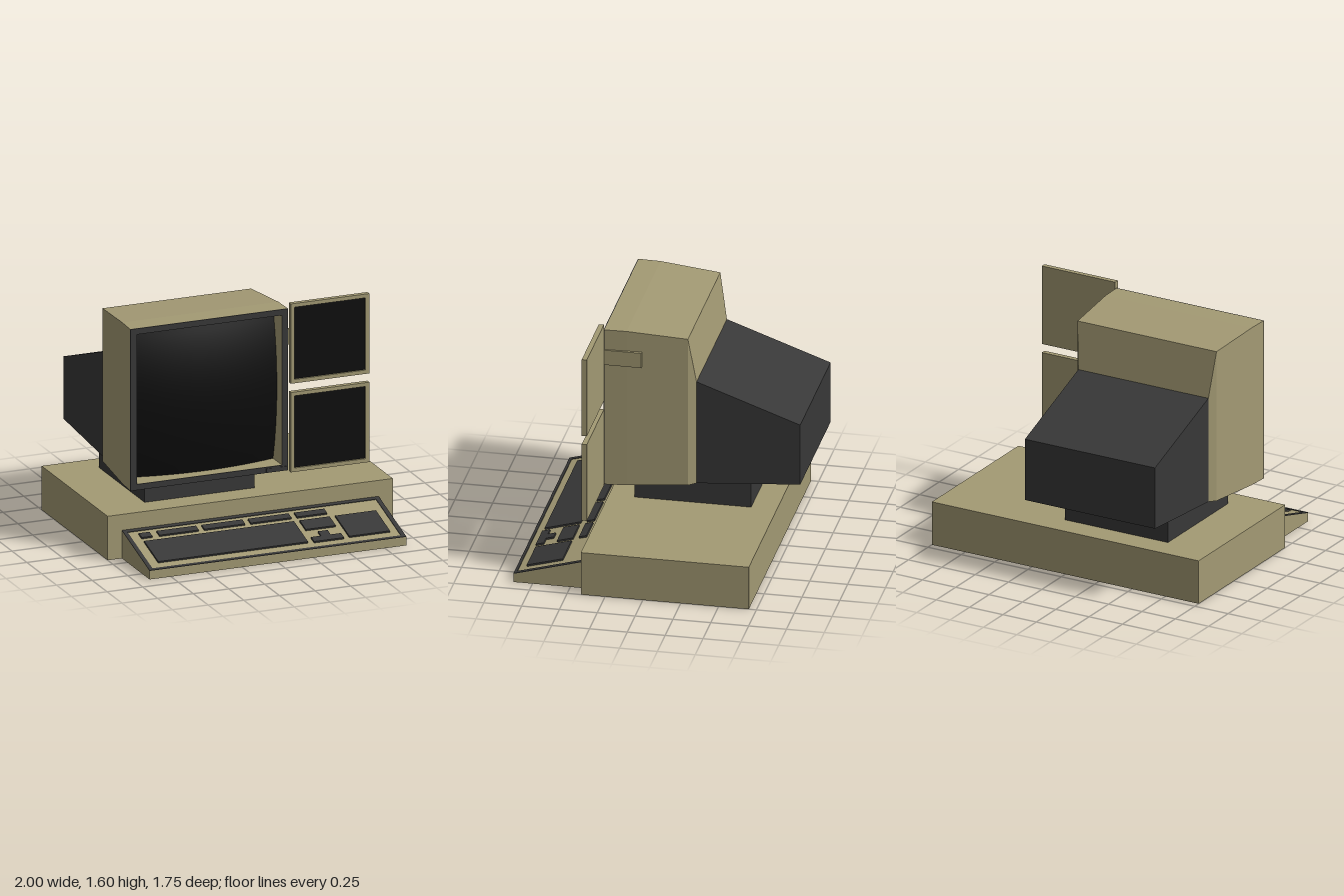
import * as THREE from 'three';

const material = (name, color, side = THREE.FrontSide) => {
  const m = new THREE.MeshStandardMaterial({ color, side });
  m.name = name;
  return m;
};

export function createModel() {
  const model = new THREE.Group();
  model.name = 'desktopComputer';
  const tan = material('tanCase', 0xa39a74);
  const dark = material('darkPlastic', 0x383838);
  const black = material('screenGlass', 0x0c0c0c);

  const add = (name, geometry, mat, parent = model) => {
    const mesh = new THREE.Mesh(geometry, mat);
    mesh.name = name;
    parent.add(mesh);
    return mesh;
  };

  // Box given by its limits on each axis
  const box = (name, [x0, x1], [y0, y1], [z0, z1], mat, parent) => {
    const mesh = add(name, new THREE.BoxGeometry(x1 - x0, y1 - y0, z1 - z0), mat, parent);
    mesh.position.set((x0 + x1) / 2, (y0 + y1) / 2, (z0 + z1) / 2);
    return mesh;
  };

  // Rectangular frame in the xy plane, extruded towards +z
  const rect = (path, x0, x1, y0, y1) =>
    path.moveTo(x0, y0).lineTo(x1, y0).lineTo(x1, y1).lineTo(x0, y1).closePath();
  const frame = (outer, inner, depth) => {
    const shape = rect(new THREE.Shape(), ...outer);
    shape.holes.push(rect(new THREE.Path(), ...inner));
    return new THREE.ExtrudeGeometry(shape, { depth, bevelEnabled: false });
  };

  // Rectangular sections [z, x0, x1, y0, y1] joined by flat faces;
  // listing them from back to front turns the faces inwards
  const loft = (sections, capEnd) => {
    const rings = sections.map(([z, x0, x1, y0, y1]) =>
      [[x0, y0, z], [x1, y0, z], [x1, y1, z], [x0, y1, z]]);
    const pos = [];
    const quad = (a, b, c, d) => pos.push(...a, ...b, ...c, ...a, ...c, ...d);
    for (let s = 0; s < rings.length - 1; s++) {
      const a = rings[s], b = rings[s + 1];
      for (let i = 0; i < 4; i++) {
        const j = (i + 1) % 4;
        quad(a[i], b[i], b[j], a[j]);
      }
    }
    const end = rings[rings.length - 1];
    if (capEnd) quad(end[0], end[3], end[2], end[1]);
    const g = new THREE.BufferGeometry();
    g.setAttribute('position', new THREE.Float32BufferAttribute(pos, 3));
    g.computeVertexNormals();
    return g;
  };

  // Main case and monitor stand
  box('systemCase', [-1, 1], [0, 0.3], [-0.7, 0.41], tan);
  box('monitorStand', [-0.67, 0.1], [0.3, 0.485], [-0.53, 0.24], dark);

  // Monitor housing and tapered tube cover
  add('monitorHousing', loft([
    [0.406, -0.84, 0.265, 0.452, 1.555],
    [0.26, -0.835, 0.26, 0.456, 1.555],
    [-0.14, -0.807, 0.235, 0.482, 1.525],
    [-0.19, -0.775, 0.2, 0.486, 1.21],
  ], true), tan);
  add('tubeCover', loft([
    [-0.19, -0.775, 0.2, 0.486, 1.21],
    [-0.875, -0.775, 0.2, 0.54, 0.965],
  ], true), dark);

  // Bezel, recess and bulging screen
  const opening = [-0.795, 0.222, 0.492, 1.515];
  add('bezel', frame([-0.84, 0.265, 0.452, 1.555], opening, 0.005), dark).position.z = 0.406;
  add('screenRecess', loft([[0.24, ...opening], [0.407, ...opening]], false), tan);
  const screen = new THREE.PlaneGeometry(1.017, 1.023, 16, 16);
  const p = screen.attributes.position;
  for (let i = 0; i < p.count; i++) {
    const u = p.getX(i) / 0.51, v = p.getY(i) / 0.51;
    p.setZ(i, -0.065 * (u * u + v * v));
  }
  screen.computeVertexNormals();
  add('mainScreen', screen, black).position.set(-0.2865, 1.0035, 0.39);
  for (const x of [0.11, 0.21]) {
    box('monitorButton', [x, x + 0.04], [0.462, 0.482], [0.408, 0.416], dark);
  }

  // Two side displays and their bracket
  box('sideBracket', [0.235, 0.276], [1.31, 1.415], [0.16, 0.41], tan);
  for (const y of [0.445, 1.05]) {
    const display = new THREE.Group();
    display.name = 'sideDisplay';
    display.position.set(0.272, y, 0.407);
    model.add(display);
    box('displayBack', [0, 0.55], [0, 0.545], [0, 0.018], tan, display);
    add('displayFrame', frame([0, 0.55, 0, 0.545], [0.026, 0.524, 0.026, 0.519], 0.016), tan, display)
      .position.z = 0.018;
    box('displayScreen', [0.026, 0.524], [0.026, 0.519], [0.016, 0.022], black, display);
  }

  // Wedge-shaped keyboard
  const wedge = new THREE.Shape();
  wedge.moveTo(0.41, 0).lineTo(0.875, 0).lineTo(0.875, 0.058).lineTo(0.41, 0.188).closePath();
  const body = add('keyboardBody',
    new THREE.ExtrudeGeometry(wedge, { depth: 1.8, bevelEnabled: false }), tan);
  body.rotation.y = -Math.PI / 2;
  body.position.x = 0.9;

  // Sloping rim and key blocks
  const slope = Math.atan2(0.13, 0.465), cos = Math.cos(slope);
  const deck = new THREE.Group();
  deck.name = 'keyboardDeck';
  deck.position.set(0, 0.188, 0.41);
  deck.rotation.x = slope;
  model.add(deck);
  add('keyboardRim', frame([-0.9, 0.9, -0.465 / cos, 0],
    [-0.872, 0.87, -0.445 / cos, -0.027 / cos], 0.004), dark, deck).rotation.x = -Math.PI / 2;
  const keys = [
    ['escapeKey', -0.81, -0.735, 0.475, 0.525],
    ['functionKeys', -0.685, -0.41, 0.475, 0.525],
    ['functionKeys', -0.37, -0.085, 0.475, 0.525],
    ['functionKeys', -0.045, 0.24, 0.475, 0.525],
    ['systemKeys', 0.28, 0.49, 0.475, 0.525],
    ['mainKeys', -0.81, 0.24, 0.565, 0.803],
    ['navigationKeys', 0.28, 0.49, 0.565, 0.67],
    ['upArrowKey', 0.35, 0.417, 0.707, 0.76],
    ['arrowKeys', 0.28, 0.49, 0.758, 0.81],
    ['numberPad', 0.53, 0.815, 0.565, 0.803],
  ];
  for (const [name, x0, x1, z0, z1] of keys) {
    box(name, [x0, x1], [-0.005, 0.012], [(z0 - 0.41) / cos, (z1 - 0.41) / cos], dark, deck);
  }
  return model;
}
